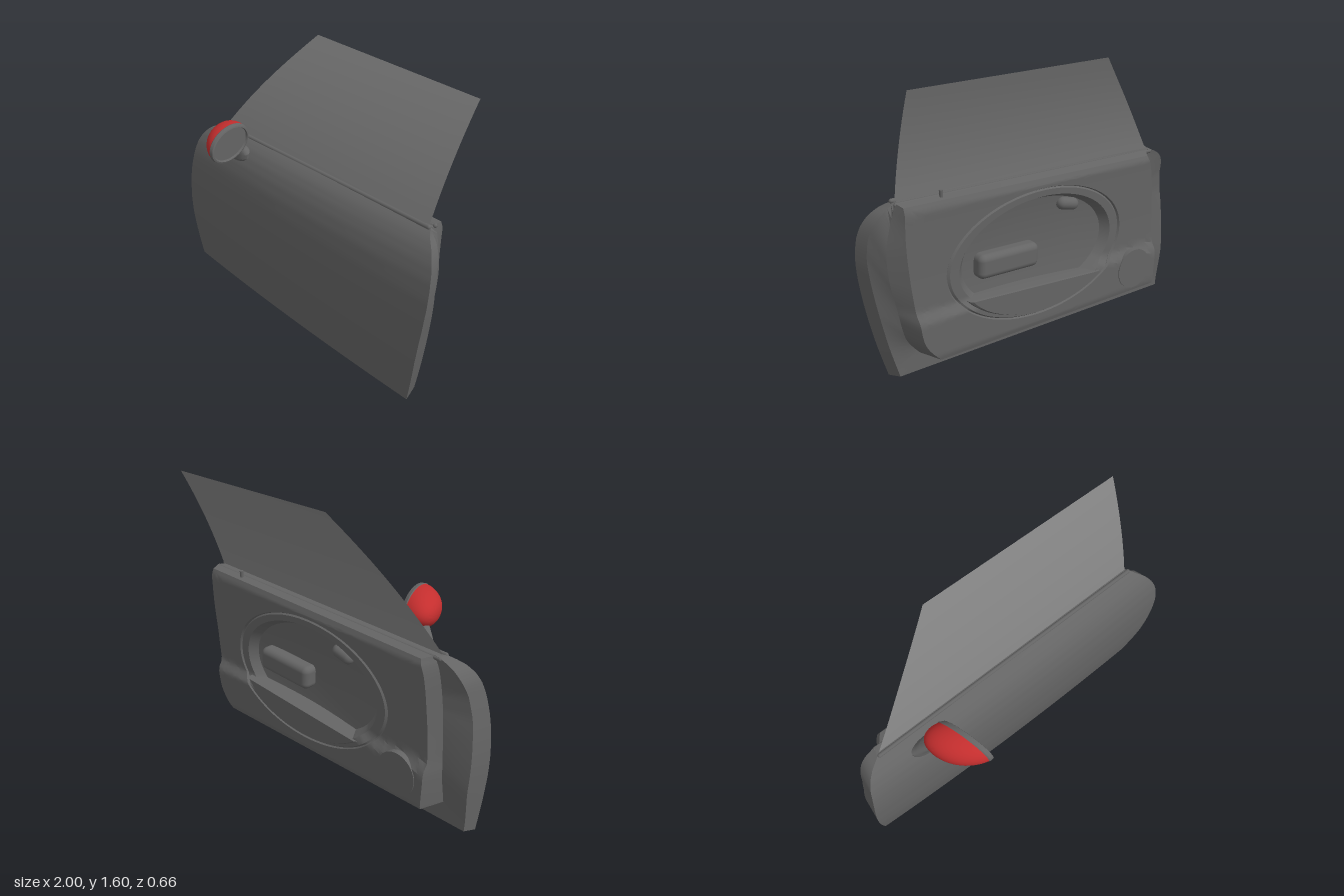
import * as THREE from 'three';
import { toCreasedNormals } from 'three/addons/utils/BufferGeometryUtils.js';
import { RoundedBoxGeometry } from 'three/addons/geometries/RoundedBoxGeometry.js';

const V = (x, y, z) => new THREE.Vector3(x, y, z);
const { lerp, smoothstep } = THREE.MathUtils;
const paint = new THREE.MeshStandardMaterial({ color: 0x646464, side: THREE.DoubleSide });
const glass = new THREE.MeshStandardMaterial({ color: 0x838383, side: THREE.DoubleSide });
const red = new THREE.MeshStandardMaterial({ color: 0xc42e2e });

// Piecewise value from [key, value] pairs
function table(pairs, k) {
  if (k <= pairs[0][0]) return pairs[0][1];
  for (let i = 1; i < pairs.length; i++) {
    const [a, va] = pairs[i - 1], [b, vb] = pairs[i];
    if (k <= b) return lerp(va, vb, (k - a) / (b - a));
  }
  return pairs[pairs.length - 1][1];
}

// Skin through equal-length rows of points
function loft(rows, closed, crease = 0.5) {
  const n = rows[0].length, pos = [], idx = [];
  rows.forEach(r => r.forEach(p => pos.push(p.x, p.y, p.z)));
  for (let k = 0; k < rows.length - 1; k++) {
    for (let i = 0; i < (closed ? n : n - 1); i++) {
      const j = (i + 1) % n, a = k * n + i, b = k * n + j;
      idx.push(a, b, b + n, a, b + n, a + n);
    }
  }
  const g = new THREE.BufferGeometry();
  g.setAttribute('position', new THREE.Float32BufferAttribute(pos, 3));
  g.setIndex(idx);
  return toCreasedNormals(g, crease);
}

// Side edges of an outline as smooth curves from bottom to top
const NS = 36, NX = 56;
const side = pts => new THREE.SplineCurve(pts.map(p => new THREE.Vector2(...p))).getPoints(NS);

// Closed outline: up the left edge, along the top, down the right edge, back along the bottom
function outline(L, R, zOf) {
  const pts = [...L];
  for (let i = 1; i < NX; i++) pts.push(L[NS].clone().lerp(R[NS], i / NX));
  pts.push(...[...R].reverse());
  for (let i = 1; i < NX; i++) pts.push(R[0].clone().lerp(L[0], i / NX));
  return pts.map(p => V(p.x, p.y, zOf(p.x, p.y)));
}

const level = (x, y) => y / (0.987 + 0.027 * x);
const skinZ = (x, y) => table([[0, 0.045], [0.1, 0.062], [0.2, 0.077], [0.32, 0.092], [0.45, 0.1], [0.6, 0.1],
  [0.7, 0.093], [0.8, 0.077], [0.87, 0.055], [0.92, 0.03], [0.96, 0], [0.985, -0.03], [1, -0.055]], level(x, y)) - 0.022 * x * x;
const lipZ = (x, y) => table([[0, -0.055], [0.2, -0.035], [0.5, -0.015], [0.7, -0.005], [0.82, -0.02], [0.93, -0.06], [1, -0.08]],
  level(x, y)) - 0.04 * smoothstep(-x, 0.3, 0.95) * smoothstep(y, 0, 0.3);
const baseZ = (x, y) => table([[0.14, -0.055], [0.3, -0.08], [0.7, -0.09], [1, -0.11]], level(x, y));
const panelZ = (x, y) => table([[0.14, -0.19], [0.17, -0.198], [0.37, -0.198], [0.42, -0.165], [0.6, -0.163], [0.9, -0.172],
  [0.95, -0.175], [1, -0.155]], level(x, y));

const OVAL = { x: 0.045, y: 0.567, a: 0.58, b: 0.355 };

function doorBody(add) {
  // Outer skin
  const L = side([[-0.98, 0.005], [-0.993, 0.2], [-1, 0.4], [-0.988, 0.6], [-0.955, 0.8], [-0.925, 0.88], [-0.88, 0.93], [-0.81, 0.963]]);
  const R = side([[0.88, 0.015], [0.925, 0.2], [0.967, 0.42], [0.993, 0.6], [1, 0.73], [0.985, 0.85], [0.94, 0.94], [0.86, 1.01]]);
  const rows = L.map((l, k) => Array.from({ length: NX + 1 }, (_, i) => {
    const p = l.clone().lerp(R[k], i / NX);
    return V(p.x, p.y, skinZ(p.x, p.y));
  }));
  add('outerSkin', loft(rows, false));

  // Edge lip, stepped flange and raised inner panel edge, with hard creases between
  const shrink = (pts, d) => pts.map(p => new THREE.Vector2(p.x + d, p.y + 0.02 * (1 - p.y)));
  const edge = outline(L, R, skinZ);
  const lip = outline(shrink(L, 0.015), shrink(R, -0.025), lipZ);
  const base = outline(
    side([[-0.83, 0.14], [-0.83, 0.4], [-0.82, 0.7], [-0.8, 0.88], [-0.77, 0.962]]),
    side([[0.74, 0.14], [0.825, 0.26], [0.87, 0.45], [0.905, 0.62], [0.91, 0.8], [0.86, 1.008]]), baseZ);
  const rim = outline(
    side([[-0.79, 0.142], [-0.8, 0.4], [-0.78, 0.7], [-0.76, 0.86], [-0.73, 0.95]]),
    side([[0.69, 0.142], [0.78, 0.26], [0.81, 0.45], [0.83, 0.62], [0.845, 0.8], [0.845, 0.997]]), panelZ);
  add('edgeLip', loft([edge, lip], true));
  add('flange', loft([lip, base], true));
  add('innerPanelEdge', loft([base, rim], true));

  // Inner panel running in to an oval recess
  const angle = rim.map(p => Math.atan2((p.y - OVAL.y) / OVAL.b, (p.x - OVAL.x) / OVAL.a));
  const oval = (s, zOf) => angle.map(t => {
    const x = OVAL.x + OVAL.a * s * Math.cos(t), y = OVAL.y + OVAL.b * s * Math.sin(t);
    return V(x, y, zOf(x, y));
  });
  const rings = [];
  const start = oval(1, panelZ);
  for (let k = 0; k <= 10; k++) {
    rings.push(rim.map((p, i) => {
      const q = p.clone().lerp(start[i], k / 10);
      return q.setZ(panelZ(q.x, q.y));
    }));
  }
  rings.push(oval(0.985, (x, y) => panelZ(x, y) + 0.01), oval(0.965, panelZ), oval(0.87, panelZ),
    oval(0.8, () => -0.12), oval(0.5, () => -0.1), oval(0, () => -0.1));
  add('innerPanel', loft(rings, true));
}

function interior(add) {
  // Storage pocket filling the lower part of the oval
  const arc = Array.from({ length: 41 }, (_, i) => {
    const t = lerp(-0.46, -Math.PI + 0.7, i / 40);
    return V(OVAL.x + 0.53 * Math.cos(t), OVAL.y + 0.33 * Math.sin(t), 0);
  });
  for (let i = 1; i < 30; i++) arc.push(arc[40].clone().lerp(arc[0], i / 30));
  const layer = (s, z) => arc.map(p => V(lerp(OVAL.x, p.x, s), lerp(0.33, p.y, s), z));
  add('doorPocket', loft([layer(1, -0.1), layer(1, -0.19), layer(0.985, -0.203), layer(0.95, -0.21), layer(0, -0.21)], true));

  // Armrest grip
  const grip = add('armrest', new RoundedBoxGeometry(0.38, 0.135, 0.1, 4, 0.035));
  grip.position.set(0.24, 0.56, -0.13);
  grip.rotation.z = 0.04;

  // Release lever
  const lever = add('releaseLever', new THREE.CapsuleGeometry(0.036, 0.07, 6, 16));
  lever.position.set(-0.18, 0.775, -0.12);
  lever.rotation.z = Math.PI / 2 + 0.25;

  // Speaker cover
  const speaker = add('speakerCover', new THREE.CylinderGeometry(0.12, 0.12, 0.05, 40));
  speaker.rotation.x = -Math.PI / 2;
  speaker.position.set(-0.63, 0.285, -0.178);

  // Lock knob on the sill
  const knob = add('lockKnob', new THREE.CylinderGeometry(0.011, 0.008, 0.05, 12));
  knob.position.set(0.62, 1.008, -0.132);
}

function windowParts(add) {
  // Curved pane leaning inward
  const rows = [];
  for (let k = 0; k <= 12; k++) {
    const t = k / 12, row = [];
    for (let i = 0; i <= 16; i++) {
      const u = i / 16;
      const x = lerp(-0.8 + 0.54 * t - 0.02 * Math.sin(Math.PI * t), 0.845 + 0.035 * t, u);
      const y = lerp(lerp(0.955, 1.0, u), 1.6 - 0.004 * u, t);
      const h = y - 1;
      row.push(V(x, y, -0.082 - 0.28 * h - 0.2 * h * h + lerp(-0.006, 0.006, u)));
    }
    rows.push(row);
  }
  add('windowGlass', loft(rows, false), glass);

  // Weather strips along the belt line, either side of the glass
  for (const [name, y, z, r] of [['outerBeltStrip', 0.96, -0.062, 0.012], ['innerBeltStrip', 0.952, -0.107, 0.012]]) {
    const ends = [V(-0.8, y, z), V(0.855, y + 0.046, z)];
    add(name, new THREE.TubeGeometry(new THREE.LineCurve3(...ends), 1, r, 10));
    ends.forEach(p => add(name + 'End', new THREE.SphereGeometry(r, 10, 8)).position.copy(p));
  }
}

function mirror(add) {
  const C = V(-0.435, 1.045, 0.166), across = V(0.043, 0, 0.157), apex = V(-0.155, 0, -0.035);
  const ring = (s, d) => Array.from({ length: 40 }, (_, i) => {
    const t = -i / 40 * Math.PI * 2;
    return C.clone().addScaledVector(across, s * Math.cos(t)).addScaledVector(apex, d)
      .add(V(0, 0.1 * s * Math.sin(t), 0));
  });
  // Rounded housing, skewed toward the door
  const dome = [];
  for (let k = 14; k >= 0; k--) {
    const a = k / 14 * Math.PI / 2;
    dome.push(ring(Math.cos(a) ** 0.9, Math.sin(a)));
  }
  add('mirrorHousing', loft(dome, true, 1), red);
  // Rim and recessed glass
  add('mirrorRim', loft([ring(1, 0), ring(1.02, -0.04), ring(0.97, -0.19), ring(0.9, -0.21), ring(0.86, -0.1)], true));
  add('mirrorGlass', loft([ring(0.87, -0.11), ring(0, -0.11)], true));

  // Flared foot and stalk
  const oval = (x, y, z, rx, rz, tilt) => Array.from({ length: 28 }, (_, i) => {
    const t = -i / 28 * Math.PI * 2;
    return V(x + rx * Math.cos(t), y + tilt * Math.sin(t), z + rz * Math.sin(t));
  });
  add('mirrorStalk', loft([
    oval(-0.555, 0.88, 0.03, 0.085, 0.025, -0.015), oval(-0.555, 0.9, 0.027, 0.108, 0.036, -0.022),
    oval(-0.555, 0.925, 0.026, 0.11, 0.038, -0.02), oval(-0.56, 0.945, 0.032, 0.085, 0.036, -0.012),
    oval(-0.555, 0.97, 0.042, 0.068, 0.038, -0.01), oval(-0.525, 1.01, 0.07, 0.05, 0.035, 0)], true));
}

export function createModel() {
  const group = new THREE.Group();
  group.name = 'carDoor';
  const add = (name, geo, mat = paint) => {
    const m = new THREE.Mesh(geo, mat);
    m.name = name;
    group.add(m);
    return m;
  };
  doorBody(add);
  interior(add);
  windowParts(add);
  mirror(add);
  return group;
}
